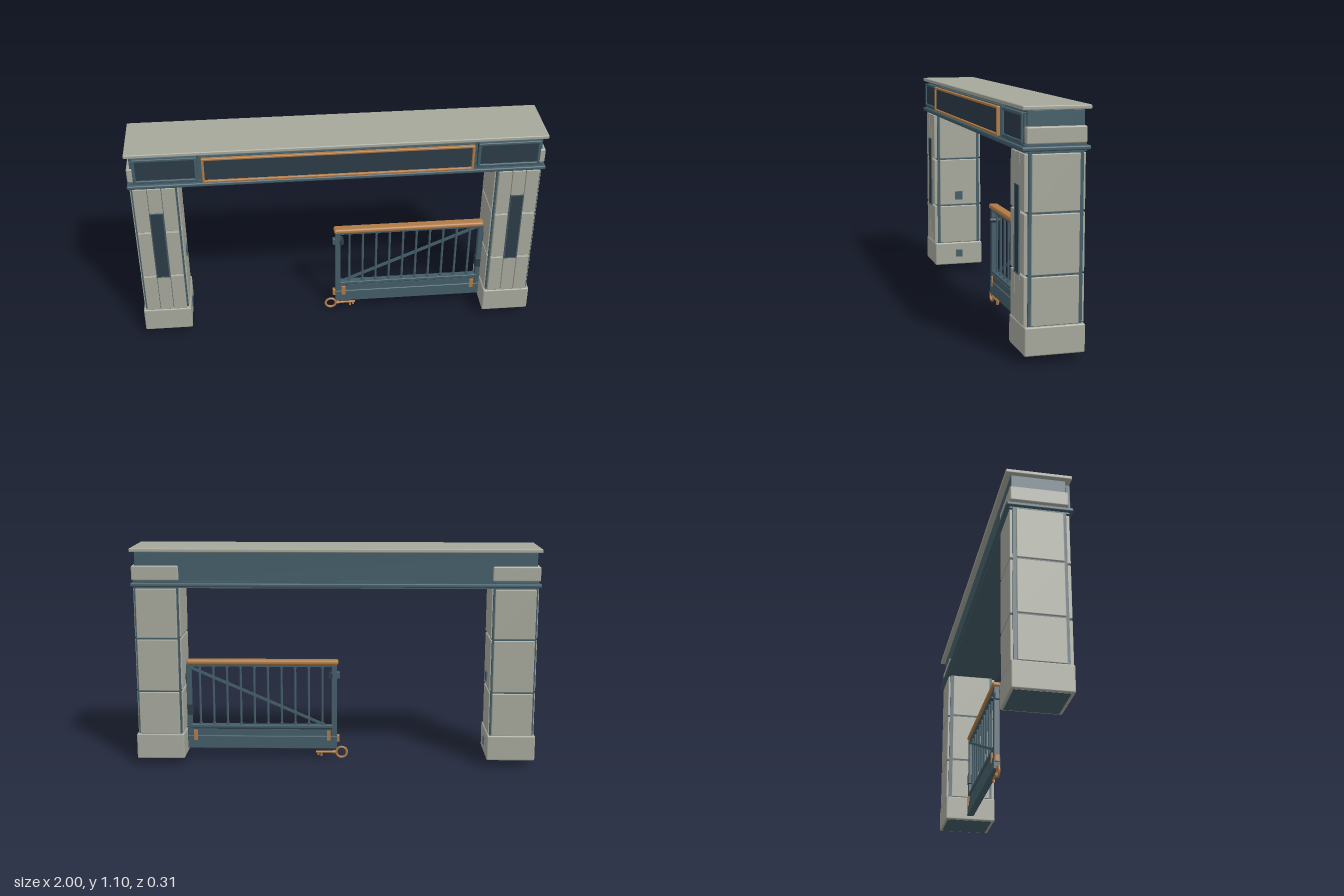
import * as THREE from 'three';
import { RoundedBoxGeometry } from 'three/addons/geometries/RoundedBoxGeometry.js';

const mat = (name, color) => {
  const m = new THREE.MeshStandardMaterial({ color });
  m.name = name;
  return m;
};

export function createModel() {
  const stone = mat('stone', 0xa5a79b);
  const teal = mat('teal paint', 0x425c67);
  const dark = mat('dark panel', 0x2c3a46);
  const copper = mat('copper', 0xb07a45);

  const root = new THREE.Group();
  root.name = 'gateway';
  const group = (name, parent = root) => {
    const g = new THREE.Group();
    g.name = name;
    parent.add(g);
    return g;
  };
  const add = (parent, name, geo, m, x = 0, y = 0, z = 0) => {
    const mesh = new THREE.Mesh(geo, m);
    mesh.name = name;
    mesh.position.set(x, y, z);
    parent.add(mesh);
    return mesh;
  };
  // Box from its limits; r rounds the edges
  const box = (parent, name, m, [x0, x1], [y0, y1], [z0, z1], r = 0) => {
    const s = [x1 - x0, y1 - y0, z1 - z0];
    const geo = r ? new RoundedBoxGeometry(...s, 2, r) : new THREE.BoxGeometry(...s);
    return add(parent, name, geo, m, (x0 + x1) / 2, (y0 + y1) / 2, (z0 + z1) / 2);
  };
  // Four bars around a rectangle
  const frame = (parent, name, m, [x0, x1], [y0, y1], z, w, r = 0) => {
    const g = group(name, parent);
    box(g, 'frameBottom', m, [x0, x1], [y0, y0 + w], z, r);
    box(g, 'frameTop', m, [x0, x1], [y1 - w, y1], z, r);
    box(g, 'frameSide', m, [x0, x0 + w], [y0, y1], z, r);
    box(g, 'frameSide', m, [x1 - w, x1], [y0, y1], z, r);
  };

  // Pillars: painted core clad in three courses of stone slabs
  const courses = [[0.165, 0.378], [0.386, 0.646], [0.654, 0.9]];
  for (const side of [-1, 1]) {
    const p = group(side < 0 ? 'rightPillar' : 'leftPillar');
    p.position.x = side * 0.879;
    box(p, 'core', teal, [-0.108, 0.108], [0.034, 0.91], [-0.127, 0.115]);
    box(p, 'base', stone, [-0.12, 0.12], [0.035, 0.163], [-0.14, 0.132], 0.007);
    for (const y of courses) {
      for (const [a, b] of [[-0.1, -0.035], [-0.032, 0.032], [0.035, 0.1]])
        box(p, 'frontSlab', stone, [a, b], y, [0.108, 0.132], 0.003);
      box(p, 'backSlab', stone, [-0.1, 0.1], y, [-0.139, -0.115], 0.004);
      for (const s of [-1, 1]) {
        const x = s < 0 ? [-0.115, -0.095] : [0.095, 0.115];
        box(p, 'sideSlab', stone, x, y, [-0.111, 0.102], 0.004);
      }
    }
    // Tall dark inlay on the front
    box(p, 'inlay', dark, [-0.03, 0.03], [0.378, 0.757], [0.128, 0.1345]);
    frame(p, 'inlayFrame', teal, [-0.034, 0.034], [0.374, 0.761], [0.128, 0.136], 0.005);
  }
  // Strike plates on the pillar opposite the gate hinge
  const strikes = group('strikePlates');
  box(strikes, 'upperStrike', teal, [-0.766, -0.757], [0.415, 0.462], [-0.027, 0.017]);
  box(strikes, 'lowerStrike', teal, [-0.762, -0.754], [0.08, 0.12], [-0.024, 0.014]);

  // Header beam, moulding and cap
  const h = group('header');
  box(h, 'beam', teal, [-0.98, 0.98], [0.92, 1.082], [-0.132, 0.12], 0.004);
  box(h, 'mouldingCore', teal, [-0.985, 0.985], [0.904, 0.938], [-0.14, 0.132]);
  box(h, 'moulding', teal, [-1, 1], [0.911, 0.93], [-0.155, 0.147], 0.006);
  box(h, 'cap', stone, [-1, 1], [1.081, 1.1], [-0.157, 0.145], 0.005);
  for (const s of [-1, 1]) {
    const x = s < 0 ? [-0.997, -0.765] : [0.765, 0.997];
    box(h, 'cornerBlock', stone, x, [0.94, 1.013], [-0.139, 0.127], 0.007);
    const px = s < 0 ? [-0.968, -0.665] : [0.665, 0.968];
    box(h, 'endPanel', dark, px, [0.942, 1.068], [0.115, 0.134]);
    frame(h, 'endFrame', teal, px, [0.94, 1.07], [0.115, 0.142], 0.014, 0.004);
  }
  box(h, 'centreBacking', teal, [-0.65, 0.65], [0.937, 1.073], [0.115, 0.141]);
  box(h, 'centrePanel', dark, [-0.64, 0.64], [0.945, 1.065], [0.14, 0.148]);
  frame(h, 'centreFrame', copper, [-0.645, 0.645], [0.938, 1.07], [0.14, 0.158], 0.012, 0.004);

  // Swinging gate
  const gate = group('gate');
  gate.position.z = -0.005;
  box(gate, 'handrail', copper, [-0.013, 0.757], [0.495, 0.52], [-0.024, 0.024], 0.01);
  box(gate, 'topRail', teal, [0.0, 0.755], [0.484, 0.497], [-0.012, 0.012]);
  box(gate, 'latchPost', teal, [-0.006, 0.021], [0.06, 0.497], [-0.015, 0.015], 0.003);
  box(gate, 'hingePost', teal, [0.735, 0.76], [0.06, 0.497], [-0.015, 0.015], 0.003);
  box(gate, 'lowerRail', teal, [0.015, 0.745], [0.163, 0.179], [-0.017, 0.017], 0.003);
  box(gate, 'kickPanel', teal, [0.015, 0.745], [0.1, 0.155], [-0.01, 0.01]);
  box(gate, 'darkGap', dark, [0.02, 0.74], [0.153, 0.165], [-0.007, 0.007]);
  box(gate, 'bottomRail', teal, [-0.006, 0.76], [0.055, 0.122], [-0.018, 0.018], 0.004);

  const bar = new THREE.CylinderGeometry(0.006, 0.006, 0.31, 10);
  const collar = new THREE.CylinderGeometry(0.009, 0.009, 0.01, 10);
  for (let i = 0; i < 10; i++) {
    const x = 0.068 + i * 0.0694;
    add(gate, 'baluster', bar, teal, x, 0.332, 0);
    for (const y of [0.184, 0.48]) add(gate, 'balusterCollar', collar, teal, x, y, 0);
  }
  // Diagonal brace behind the balusters
  const a = new THREE.Vector2(0.045, 0.175), b = new THREE.Vector2(0.745, 0.482);
  const d = b.clone().sub(a);
  const brace = add(gate, 'brace', new THREE.BoxGeometry(d.length(), 0.013, 0.01), teal,
    (a.x + b.x) / 2, (a.y + b.y) / 2, -0.009);
  brace.rotation.z = d.angle();

  // Gate fittings
  for (const x of [0.036, 0.718])
    for (const z of [-0.018, 0.018])
      box(gate, 'cornerBracket', copper, [x - 0.01, x + 0.01], [0.098, 0.152], [z - 0.004, z + 0.004], 0.002);
  for (const y of [0.44, 0.108]) {
    box(gate, 'latchTongue', y > 0.2 ? teal : copper, [-0.02, -0.004], [y - 0.018, y + 0.018], [-0.012, 0.012], 0.003);
  }
  const knob = add(gate, 'latchKnob', new THREE.CylinderGeometry(0.012, 0.012, 0.05, 16), dark, 0.026, 0.44, 0);
  knob.rotation.x = Math.PI / 2;
  box(gate, 'lockBox', dark, [0.731, 0.758], [0.234, 0.288], [-0.02, 0.02], 0.003);
  for (const y of [0.14, 0.42])
    add(gate, 'hingeBarrel', new THREE.CylinderGeometry(0.008, 0.008, 0.05, 12), dark, 0.76, y, 0);

  // Key hanging below the latch post
  const key = group('key');
  key.position.set(-0.03, 0.033, -0.004);
  add(key, 'ring', new THREE.TorusGeometry(0.027, 0.006, 10, 28), copper);
  const shaft = add(key, 'shaft', new THREE.CylinderGeometry(0.006, 0.006, 0.106, 10), copper, 0.078, 0, 0);
  shaft.rotation.z = Math.PI / 2;
  const neck = add(key, 'neck', new THREE.CylinderGeometry(0.009, 0.009, 0.012, 10), copper, 0.038, 0, 0);
  neck.rotation.z = Math.PI / 2;
  box(key, 'bit', copper, [0.098, 0.108], [-0.022, 0], [-0.004, 0.004]);
  box(key, 'bit', copper, [0.114, 0.124], [-0.016, 0], [-0.004, 0.004]);
  return root;
}
